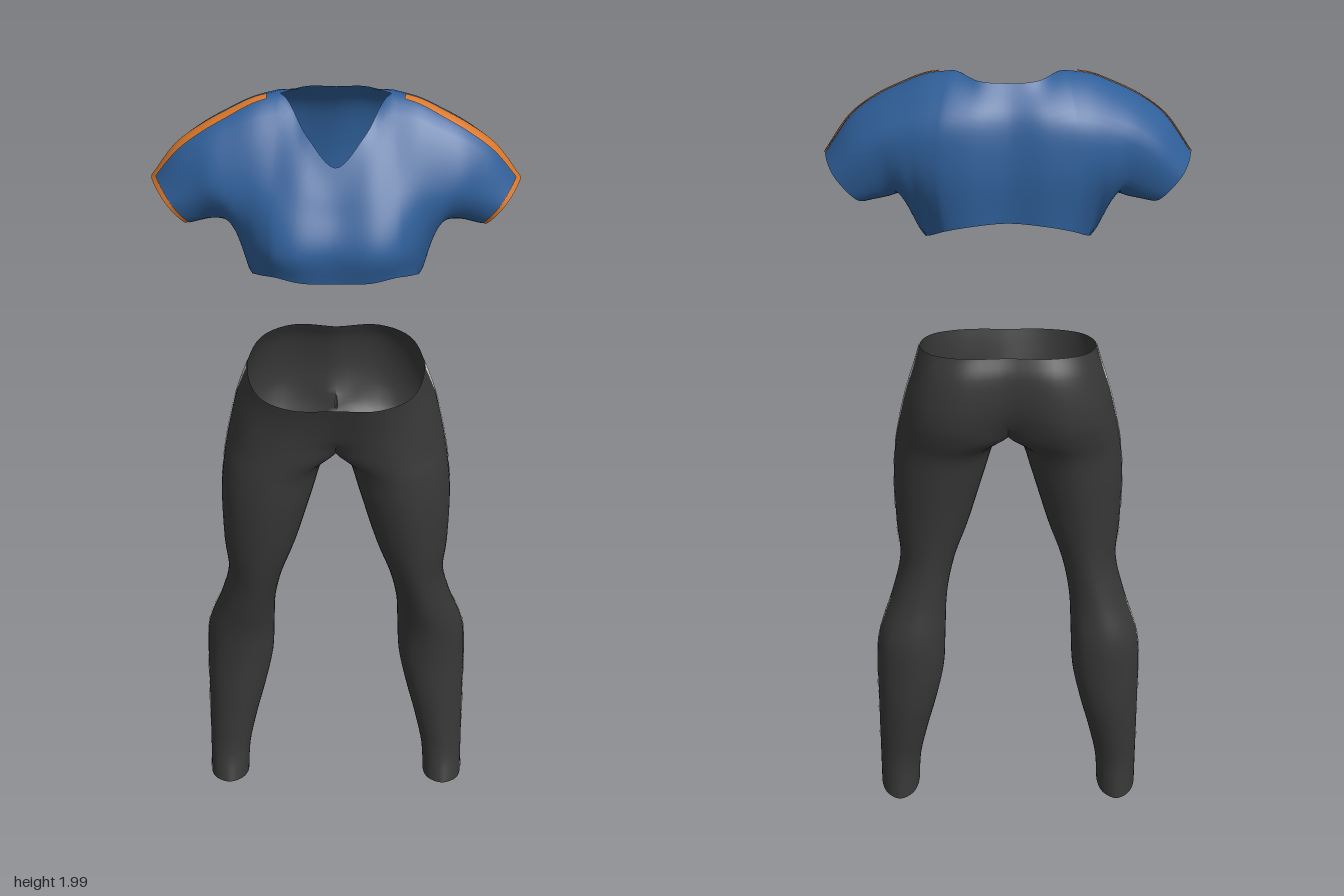
import * as THREE from 'three';
import { mergeVertices } from 'three/addons/utils/BufferGeometryUtils.js';

const V = (x, y, z) => new THREE.Vector3(x, y, z);
const lerp = THREE.MathUtils.lerp;

// Smooth surface through rows; each row is a function v -> point
const loft = (rows) => (u, v) =>
  new THREE.CatmullRomCurve3(rows.map((r) => r(v))).getPoint(u / (rows.length - 1));

// Surface pushed outwards along its normal, for thin painted strips
const raised = (surf, d, uMax) => (u, v) => {
  const e = 0.01, u0 = Math.min(u, uMax - e);
  const p = surf(u0, v);
  const du = surf(u0 + e, v).sub(p), dv = surf(u0, v + e).sub(p);
  return surf(u, v).addScaledVector(du.cross(dv).normalize(), d);
};

// Adds a grid of triangles for f(s, t), s and t in 0..1, on both body halves
function addGrid(out, f, ns, nt) {
  const p = [];
  for (let i = 0; i <= ns; i++) {
    p.push([]);
    for (let j = 0; j <= nt; j++) p[i].push(f(i / ns, j / nt));
  }
  const tri = (a, b, c) => {
    for (const q of [a, b, c]) out.push(q.x, q.y, q.z);
    for (const q of [a, c, b]) out.push(-q.x, q.y, q.z);
  };
  for (let i = 0; i < ns; i++) for (let j = 0; j < nt; j++) {
    tri(p[i][j], p[i + 1][j], p[i][j + 1]);
    tri(p[i + 1][j], p[i + 1][j + 1], p[i][j + 1]);
  }
}

const patch = (out, surf, u0, u1, v0, v1, nu, nv) =>
  addGrid(out, (s, t) => surf(lerp(u0, u1, s), lerp(v0, v1, t)), nu, nv);

function makeMesh(name, out, material) {
  let g = new THREE.BufferGeometry();
  g.setAttribute('position', new THREE.Float32BufferAttribute(out, 3));
  g = mergeVertices(g, 1e-4);
  g.computeVertexNormals();
  const m = new THREE.Mesh(g, material);
  m.name = name;
  return m;
}

// Shirt sections from the middle to the cuff: hem, lower chest, upper chest, top
const FRONT = [
  [[0, 1.61, 0.165], [0, 1.69, 0.175], [0, 1.78, 0.135], [0, 1.865, 0.09]],
  [[0.08, 1.615, 0.17], [0.09, 1.69, 0.183], [0.08, 1.8, 0.132], [0.065, 1.925, 0.052]],
  [[0.14, 1.62, 0.15], [0.145, 1.69, 0.163], [0.14, 1.82, 0.108], [0.125, 1.992, -0.03]],
  [[0.18, 1.6, 0.1], [0.185, 1.69, 0.12], [0.185, 1.82, 0.097], [0.185, 1.98, -0.018]],
  [[0.2, 1.575, 0.025], [0.215, 1.68, 0.075], [0.235, 1.8, 0.09], [0.24, 1.955, -0.008]],
  [[0.235, 1.69, -0.01], [0.25, 1.715, 0.05], [0.28, 1.8, 0.078], [0.3, 1.922, 0]],
  [[0.275, 1.69, -0.03], [0.29, 1.715, 0.035], [0.32, 1.78, 0.062], [0.36, 1.875, 0]],
  [[0.325, 1.68, -0.03], [0.345, 1.7, 0.032], [0.385, 1.75, 0.045], [0.42, 1.79, -0.012]],
];
// Back of the same sections: upper back, lower back, hem
const BACK = [
  [[0, 1.91, -0.14], [0, 1.8, -0.16], [0, 1.67, -0.155]],
  [[0.08, 1.915, -0.148], [0.09, 1.81, -0.17], [0.09, 1.665, -0.165]],
  [[0.15, 1.92, -0.14], [0.16, 1.81, -0.163], [0.15, 1.645, -0.145]],
  [[0.195, 1.91, -0.13], [0.205, 1.8, -0.148], [0.185, 1.61, -0.085]],
  [[0.245, 1.89, -0.12], [0.235, 1.75, -0.125]],
  [[0.295, 1.865, -0.11], [0.27, 1.74, -0.1]],
  [[0.345, 1.825, -0.1], [0.305, 1.72, -0.09]],
  [[0.4, 1.76, -0.085], [0.35, 1.7, -0.083]],
];
const NECK_BACK = [[0, 1.982, -0.09], [0.065, 1.985, -0.085]];

function makeShirt(blue, orange) {
  const curve = (pts, closed = false) =>
    new THREE.CatmullRomCurve3(pts.map((p) => V(...p)), closed);
  const mirrored = (row) => (v) => row(v).multiply(V(-1, 1, 1));
  // v runs 0..3 up the front and 3..6 down the back
  const whole = [2, 3, 4, 5, 6, 7].map((i) => {
    const c = curve([...FRONT[i], ...BACK[i]], i >= 4);
    return (v) => c.getPoint(v / 6);
  });
  const frontRows = [0, 1].map((i) => {
    const c = curve(FRONT[i]);
    return (v) => c.getPoint(v / 3);
  });
  const backRows = [0, 1].map((i) => {
    const c = curve([NECK_BACK[i], ...BACK[i]]);
    return (v) => c.getPoint((v - 3) / 3);
  });
  const middle = (rows) => loft([mirrored(rows[1]), ...rows, whole[0], whole[1]]);
  const side = loft(whole);

  const cloth = [];
  patch(cloth, middle(frontRows), 1, 3, 0, 3, 12, 20);
  patch(cloth, middle(backRows), 1, 3, 3, 6, 12, 20);
  patch(cloth, side, 0, 5, 0, 6, 36, 40);

  // Shoulder stripe, keeping its width as the sleeve narrows
  const stripe = [], top = raised(side, 0.003, 5);
  addGrid(stripe, (s, t) => {
    const u = lerp(0.5, 5, s);
    return top(u, 3 + (t * 2 - 1) * lerp(0.075, 0.16, s));
  }, 36, 4);
  const trim = [];
  patch(trim, top, 4.85, 5, 1, 3, 2, 16);

  const shirt = new THREE.Group();
  shirt.name = 'shirt';
  shirt.add(makeMesh('shirtCloth', cloth, blue),
    makeMesh('shoulderStripes', stripe, orange),
    makeMesh('cuffTrim', trim, orange));
  return shirt;
}

// Hips: height, tilt, outer x, front z, back z, middle front z, middle back z
const HIPS = [
  [1.29, -0.22, 0.213, 0.142, -0.152, 0.145, -0.145],
  [1.25, -0.15, 0.225, 0.135, -0.175, 0.135, -0.163],
  [1.19, -0.05, 0.245, 0.127, -0.185, 0.12, -0.165],
  [1.14, 0, 0.257, 0.125, -0.18, 0.105, -0.148],
  [1.095, 0, 0.266, 0.125, -0.165, 0.075, -0.115],
];
// Leg: height, inner x, outer x, front z, back z
const LEG = [
  [1.04, 0.03, 0.275, 0.125, -0.14], [0.95, 0.057, 0.283, 0.123, -0.125],
  [0.8, 0.1, 0.28, 0.105, -0.105], [0.7, 0.135, 0.272, 0.085, -0.1],
  [0.6, 0.155, 0.295, 0.06, -0.11], [0.5, 0.16, 0.328, 0.035, -0.13],
  [0.4, 0.165, 0.335, 0.025, -0.13], [0.3, 0.185, 0.335, 0.025, -0.125],
  [0.2, 0.21, 0.335, 0.025, -0.11], [0.1, 0.23, 0.335, 0.03, -0.095],
  [0.02, 0.235, 0.335, 0.055, -0.1],
];

function makeLeggings(black, white) {
  // Eight points per ring, from inner front round the outside to inner back
  const ring = (y, tilt, xi, xo, zf, zb, mf, mb) => {
    const pts = [];
    for (let k = 0; k < 8; k++) {
      const a = (3 - k) * Math.PI / 4;
      let x = (xi + xo) / 2 + (xo - xi) / 2 * Math.cos(a);
      let z = (zf + zb) / 2 + (zf - zb) / 2 * Math.sin(a);
      if (mf !== undefined && (k === 0 || k === 6)) { x = 0; z = k ? mb : mf; }
      pts.push(V(x, y + tilt * z, z));
    }
    return pts;
  };
  const crotch = HIPS.length - 1;
  const hipRows = HIPS.map(([y, tilt, xo, ...z], i) => {
    const pts = ring(y, tilt, 0, xo, ...z);
    const c = i < crotch ? new THREE.CatmullRomCurve3(pts.slice(0, 7)) : new THREE.CatmullRomCurve3(pts, true);
    return (v) => c.getPoint(i < crotch ? Math.min(v / 6, 1) : v / 8);
  });
  const legRows = LEG.map(([y, ...r], i) => {
    const c = new THREE.CatmullRomCurve3(ring(y, i === LEG.length - 1 ? 0.2 : 0, ...r), true);
    return (v) => c.getPoint(v / 8);
  });
  const rows = [...hipRows, ...legRows], last = rows.length - 1;
  const outer = loft(rows);
  const inner = loft([hipRows[crotch], ...legRows]);

  const cloth = [];
  patch(cloth, outer, 0, last, 0, 6, 60, 30);
  // Inner leg shares its edges with the outer panel
  addGrid(cloth, (s, t) => {
    const u = s * (last - crotch), v = 6 + 2 * t;
    return t === 0 || t === 1 ? outer(u + crotch, t ? 0 : 6) : inner(u, v);
  }, 44, 10);

  // Broken side stripe: start row, end row, centre, half width
  const dashes = [
    [0, 1.6, 3.1, 0.15], [1.6, 3.6, 3.12, 0.1], [3.6, 5.2, 3.14, 0.07],
    [5.4, 5.8, 3.22, 0.06], [6.1, 6.7, 3.26, 0.06], [7.1, 7.5, 3.26, 0.06],
    [9.1, 9.9, 3.2, 0.06], [10, 11.2, 3.2, 0.07], [11.3, 11.9, 3.12, 0.07],
    [12.1, 12.7, 3.08, 0.06], [13, 13.4, 3.04, 0.06], [13.8, 14.1, 3.08, 0.06],
    [14.7, 15, 3.15, 0.09],
  ];
  const stripe = [], skin = raised(outer, 0.002, last);
  for (const [a, b, c, w] of dashes) patch(stripe, skin, a, b, c - w, c + w, 6, 2);

  const leggings = new THREE.Group();
  leggings.name = 'leggings';
  leggings.add(makeMesh('leggingsCloth', cloth, black), makeMesh('sideStripes', stripe, white));
  return leggings;
}

export function createModel() {
  const mat = (name, color) => {
    const m = new THREE.MeshStandardMaterial({ color, side: THREE.DoubleSide });
    m.name = name;
    return m;
  };
  const model = new THREE.Group();
  model.name = 'sportsOutfit';
  model.add(makeShirt(mat('blue', 0x2f5f99), mat('orange', 0xd9772b)),
    makeLeggings(mat('charcoal', 0x383838), mat('white', 0xe0e0e0)));
  return model;
}
